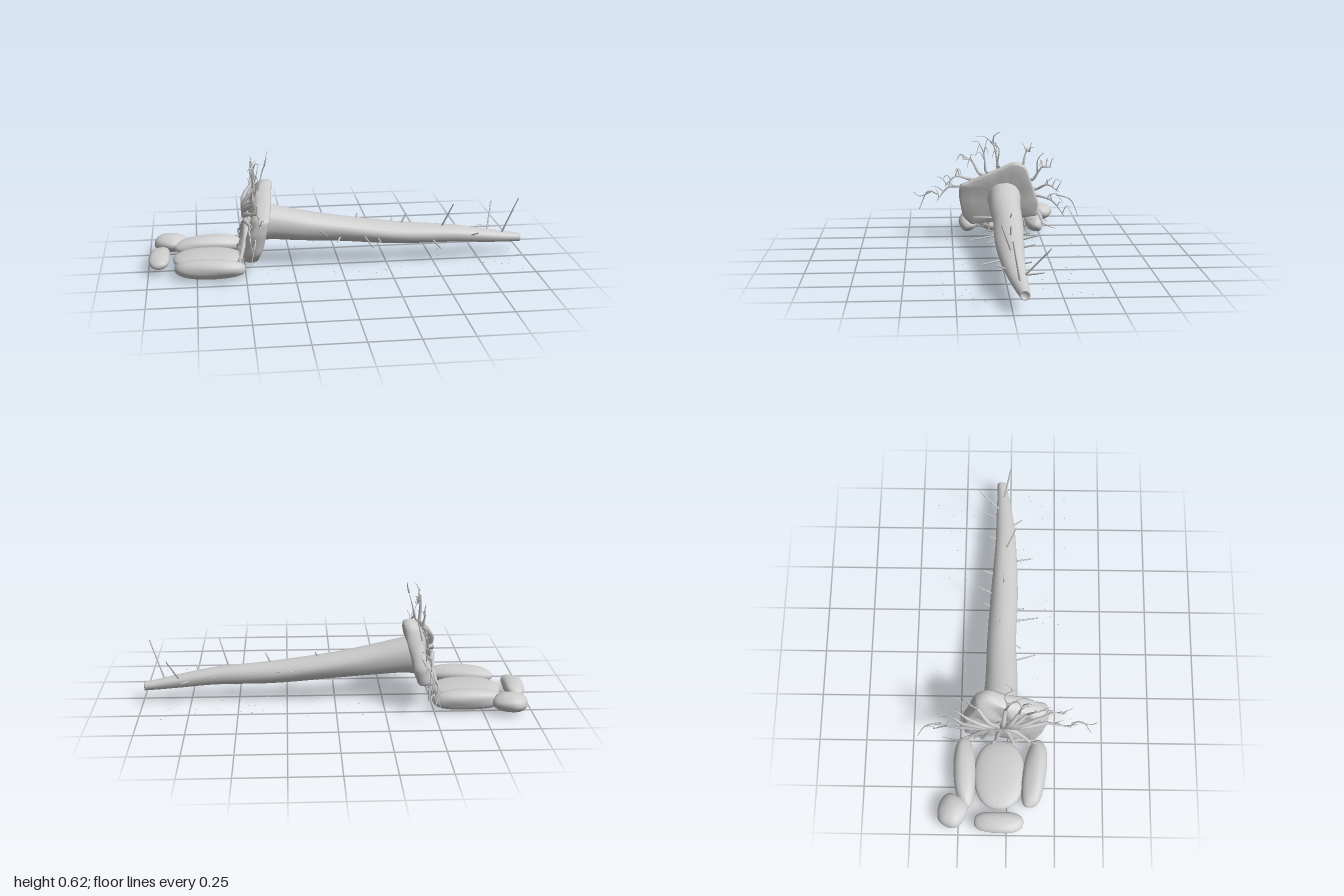
import * as THREE from 'three';
import { mergeGeometries } from 'three/addons/utils/BufferGeometryUtils.js';

const grey = new THREE.MeshStandardMaterial({ color: 0xcccccc, side: THREE.DoubleSide });
grey.name = 'stoneGrey';

const V = (x, y, z) => new THREE.Vector3(x, y, z);
let seed = 7;
const rand = (a = 0, b = 1) => {
  seed = (seed * 16807) % 2147483647;
  return a + (b - a) * seed / 2147483647;
};
// Smooth lumpiness
const noise = (x, y, z, f) =>
  (Math.sin(x * f + 2 * Math.sin(y * f * 0.7)) + Math.sin(y * f * 1.3 + 1.7 * Math.sin(z * f)) +
    Math.sin(z * f * 1.1 + x * f * 0.6 + 1)) / 3;

function mesh(name, geometry) {
  const m = new THREE.Mesh(geometry, grey);
  m.name = name;
  return m;
}

// Skin over closed rings that follow one another toward +x
function loft(rings) {
  const n = rings[0].length, pos = [], idx = [];
  rings.forEach((ring) => ring.forEach((p) => pos.push(p.x, p.y, p.z)));
  for (let i = 0; i < rings.length - 1; i++) {
    for (let j = 0; j < n; j++) {
      const k = (j + 1) % n, a = i * n + j, b = i * n + k, c = a + n, d = b + n;
      idx.push(a, b, c, b, d, c);
    }
  }
  const g = new THREE.BufferGeometry();
  g.setAttribute('position', new THREE.Float32BufferAttribute(pos, 3));
  g.setIndex(idx);
  g.computeVertexNormals();
  return g;
}

// Tube along points, narrowing from r0 to r1
function taper(points, r0, r1, segs = 10, sides = 5) {
  const curve = new THREE.CatmullRomCurve3(points);
  const g = new THREE.TubeGeometry(curve, segs, 1, sides);
  const p = g.attributes.position, v = V();
  for (let i = 0; i < p.count; i++) {
    const t = Math.floor(i / (sides + 1)) / segs, c = curve.getPointAt(t);
    v.fromBufferAttribute(p, i).sub(c).multiplyScalar(r0 + (r1 - r0) * t).add(c);
    p.setXYZ(i, v.x, v.y, v.z);
  }
  return g;
}

function stone(name, c, r, turn = 0, lump = 0.09) {
  const g = new THREE.SphereGeometry(1, 32, 20), p = g.attributes.position;
  for (let i = 0; i < p.count; i++) {
    const x = p.getX(i), y = p.getY(i), z = p.getZ(i);
    const s = 1 + lump * noise(x + c[0] * 9, y, z + c[2] * 9, 3.2);
    // slightly squared-off ellipsoid
    const q = (w) => Math.sign(w) * Math.pow(Math.abs(w), 0.88);
    p.setXYZ(i, q(x) * s * r[0], q(y) * s * r[1], q(z) * s * r[2]);
  }
  g.computeVertexNormals();
  const m = mesh(name, g);
  m.position.set(...c);
  m.rotation.y = turn;
  return m;
}

// Trunk stations: x, centre y, centre z, radius y, radius z
const STATIONS = [
  [-0.44, 0.25, -0.04, 0.11, 0.095], [-0.36, 0.245, -0.04, 0.095, 0.09], [-0.2, 0.218, -0.035, 0.08, 0.085],
  [0, 0.19, -0.038, 0.067, 0.078], [0.3, 0.158, -0.028, 0.058, 0.073], [0.6, 0.14, -0.025, 0.046, 0.057],
  [0.8, 0.115, -0.035, 0.036, 0.042], [0.92, 0.1, -0.045, 0.028, 0.03], [0.99, 0.093, -0.052, 0.023, 0.023],
];

function trunk() {
  const track = (k) => new THREE.SplineCurve(STATIONS.map((s, i) => new THREE.Vector2(i, s[k])));
  const tracks = [0, 1, 2, 3, 4].map(track);
  const rings = [];
  const ring = (t, scale, dx = 0) => {
    const [x, cy, cz, ry, rz] = tracks.map((c) => c.getPoint(t).y);
    rings.push(Array.from({ length: 24 }, (_, j) => {
      const a = j / 24 * Math.PI * 2, y = Math.cos(a), z = Math.sin(a);
      const s = scale * (1 + 0.07 * noise(x * 2.5, y, z, 3));
      return V(x + dx, cy + y * ry * s, cz + z * rz * s);
    }));
  };
  for (let i = 0; i <= 50; i++) ring(i / 50, 1);
  ring(1, 0.75);
  ring(1, 0.7, -0.008);
  ring(1, 0, -0.008);
  return mesh('trunk', loft(rings));
}

// Leaning slab of earth at the foot of the trunk
const lean = (y) => -0.435 + (y - 0.26) * 0.25;
function rootPlate() {
  const outline = [[0.45, -0.085], [0.32, 0.208], [0.25, 0.21], [0.135, 0.19], [0.085, 0.14], [0.105, -0.03],
    [0.135, -0.23], [0.22, -0.235], [0.43, -0.16], [0.45, -0.12], [0.45, -0.085]];
  const loop = new THREE.Shape(outline.map(([y, z]) => new THREE.Vector2(y, z))).getSpacedPoints(72).slice(0, 72);
  const steps = [[0, -0.03], [0.25, -0.035], [0.5, -0.04], [0.72, -0.04], [0.9, -0.038], [0.97, -0.025],
    [1, 0], [1, 0.018], [0.98, 0.036], [0.93, 0.045], [0.7, 0.047], [0.45, 0.047], [0.2, 0.047], [0, 0.047]];
  return mesh('rootPlate', loft(steps.map(([s, dx]) => loop.map((p) => {
    const y = 0.26 + (p.x - 0.26) * s, z = -0.02 + (p.y + 0.02) * s;
    const n = noise(y, dx * 4, z, 45);
    return V(lean(y) + dx + n * (dx < 0 ? 0.014 : 0.004), y + n * 0.003 * s, z);
  }))));
}

// Roots fan out over the plate's back, arch past its rim and fork
function roots() {
  const parts = [];
  const RIMS = [ // rim z, y, tip z, y
    [0.2, 0.3, 0.335, 0.22], [0.17, 0.35, 0.29, 0.31], [0.1, 0.38, 0.19, 0.46], [0.06, 0.39, 0.08, 0.52],
    [-0.01, 0.42, 0.03, 0.56], [-0.15, 0.43, -0.19, 0.5], [-0.21, 0.34, -0.31, 0.41], [-0.23, 0.28, -0.35, 0.27],
    [-0.24, 0.24, -0.39, 0.12], [-0.2, 0.15, -0.27, 0.06], [-0.13, 0.13, -0.17, 0.03], [-0.06, 0.11, -0.09, 0.04],
    [0.03, 0.1, 0.04, 0.035], [0.12, 0.1, 0.16, 0.05],
  ];
  RIMS.forEach(([rz, ry, tz, ty]) => {
    const back = (y) => lean(y) - 0.05;
    const mid = V(back(0.26) - 0.012, (0.26 + ry) / 2 + 0.015, (rz - 0.03) / 2);
    const rim = V(back(ry), ry, rz);
    parts.push(taper([V(back(0.26), 0.26, -0.03), mid, rim], 0.017, 0.009, 12, 6));
    const x = back(ry) + rand(-0.01, 0.03);
    const arch = [rim, V(x, (ry + ty) / 2 + 0.035, (rz + tz) / 2), V(x + 0.01, ty, tz)];
    parts.push(taper(arch, 0.008, 0.002));
    const path = new THREE.CatmullRomCurve3(arch), side = Math.sign(tz - rz) || 1;
    for (let k = 0; k < 4; k++) {
      const s = path.getPoint(0.3 + k * 0.2), low = ty < 0.1;
      const len = rand(0.04, 0.11), dir = side * rand(0.2, 1) * (k === 1 ? -0.5 : 1);
      const lift = low ? -0.02 : rand(0.02, 0.05);
      const end = V(s.x + rand(-0.02, 0.03), Math.max(0.02, s.y + (low ? -0.03 : rand(-0.04, 0.06))), s.z + dir * len);
      parts.push(taper([s, V((s.x + end.x) / 2, Math.max(0.02, s.y + lift), s.z + dir * len * 0.5), end],
        0.0035, 0.001, 7, 4));
    }
  });
  // Longest loose strands
  [[[0.33, 0.26], [0.38, 0.28], [0.435, 0.17]], [[0.36, 0.28], [0.43, 0.25], [0.465, 0.275]],
    [[0.02, 0.56], [0.015, 0.6], [-0.02, 0.625]], [[0.0, 0.42], [-0.01, 0.53], [0.045, 0.575]],
    [[-0.34, 0.25], [-0.42, 0.22], [-0.47, 0.115]], [[-0.23, 0.38], [-0.23, 0.46], [-0.26, 0.5]],
  ].forEach((s) => parts.push(taper(s.map(([z, y]) => V(lean(y) - 0.03, y, z)), 0.005, 0.0015)));
  // Knot where they meet
  parts.push(new THREE.SphereGeometry(0.035, 12, 8).scale(0.7, 1, 1).translate(-0.48, 0.26, -0.03));
  return mesh('roots', mergeGeometries(parts));
}

// Broken twigs: base then tip
function twigs() {
  const T = [
    [0.55, 0.18, -0.02, 0.6, 0.32, 0.03], [0.88, 0.11, -0.04, 0.96, 0.33, 0], [0.81, 0.13, -0.06, 0.86, 0.27, -0.18],
    [0.33, 0.2, -0.03, 0.36, 0.26, -0.03], [0.085, 0.23, -0.04, 0.1, 0.265, -0.05], [0.28, 0.17, -0.08, 0.31, 0.2, -0.17],
    [0.4, 0.16, -0.08, 0.415, 0.18, -0.145], [0.2, 0.18, -0.09, 0.22, 0.19, -0.135], [0.755, 0.12, -0.06, 0.79, 0.14, -0.155],
    [0.62, 0.14, -0.07, 0.635, 0.15, -0.11], [-0.11, 0.2, 0.03, -0.08, 0.21, 0.14], [0.0, 0.16, 0.025, -0.02, 0.145, 0.065],
    [0.13, 0.16, 0.03, 0.155, 0.145, 0.16], [0.2, 0.15, 0.03, 0.21, 0.14, 0.08], [0.495, 0.125, 0.02, 0.52, 0.11, 0.125],
    [0.7, 0.13, 0, 0.73, 0.165, 0.065],
  ];
  return mesh('twigs', mergeGeometries(T.map((t) =>
    taper([V(...t.slice(0, 3)), V(...t.slice(3))], 0.005, 0.003, 2, 6))));
}

// Tiny flakes scattered at ground level
function flakes() {
  const parts = [];
  for (let i = 0; i < 70; i++) {
    parts.push(new THREE.BoxGeometry(0.007, 0.002, 0.004).rotateY(rand(0, 3))
      .translate(rand(-0.4, 0.98), 0.05, rand(-0.41, 0.34)));
  }
  return mesh('flakes', mergeGeometries(parts));
}

export function createModel() {
  const model = new THREE.Group();
  model.name = 'fallenTree';
  model.add(
    trunk(), rootPlate(), roots(), twigs(), flakes(),
    stone('pool', [-0.69, 0.05, -0.04], [0.183, 0.038, 0.132], 0, 0),
    stone('backStone', [-0.68, 0.06, -0.222], [0.185, 0.053, 0.058], 0.05),
    stone('cornerStone', [-0.885, 0.063, -0.28], [0.088, 0.046, 0.076], -0.3),
    stone('endStone', [-0.942, 0.062, -0.04], [0.055, 0.038, 0.13]),
    stone('frontStone', [-0.688, 0.062, 0.143], [0.182, 0.049, 0.06], -0.13),
  );
  return model;
}
